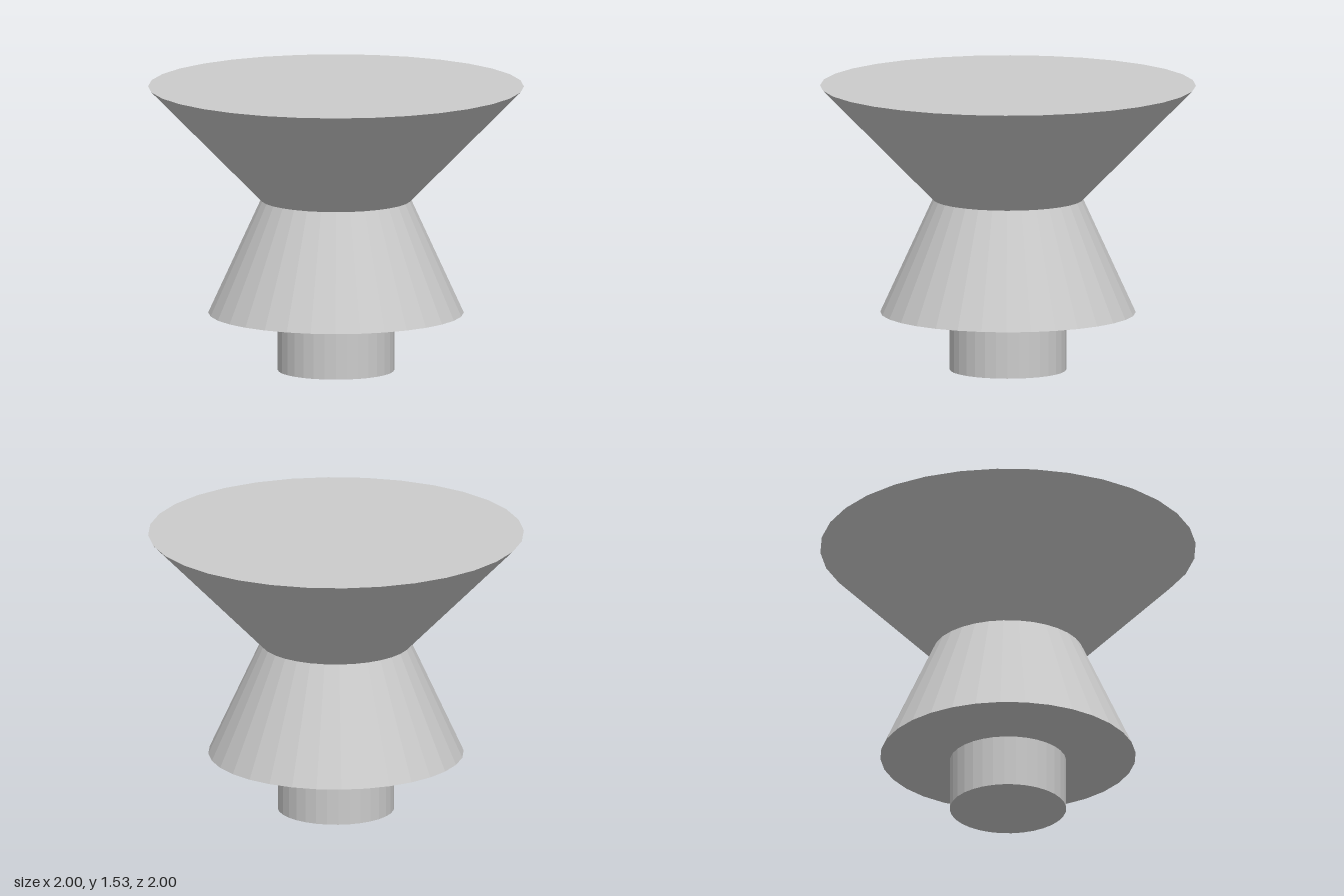
import * as THREE from 'three';

const SIDES = 32;

// Faceted solid of revolution from [radius, height] pairs, bottom to top
function turned(name, profile) {
  const points = profile.map(([r, y]) => new THREE.Vector2(r, y));
  const material = new THREE.MeshStandardMaterial({ color: 0xcccccc, flatShading: true, side: THREE.DoubleSide });
  const mesh = new THREE.Mesh(new THREE.LatheGeometry(points, SIDES), material);
  mesh.name = name;
  return mesh;
}

export function createModel() {
  const group = new THREE.Group();
  group.name = 'hourglassKnob';

  // Straight stem with a closed foot
  group.add(turned('stem', [[0, 0], [0.31, 0], [0.31, 0.28]]));

  // Skirt: shallow underside, then tapering up to the waist
  group.add(turned('skirt', [[0.31, 0.28], [0.68, 0.31], [0.4, 0.92]]));

  // Flared head closed by a flat top
  group.add(turned('head', [[0.4, 0.92], [1, 1.53], [0, 1.53]]));

  return group;
}
